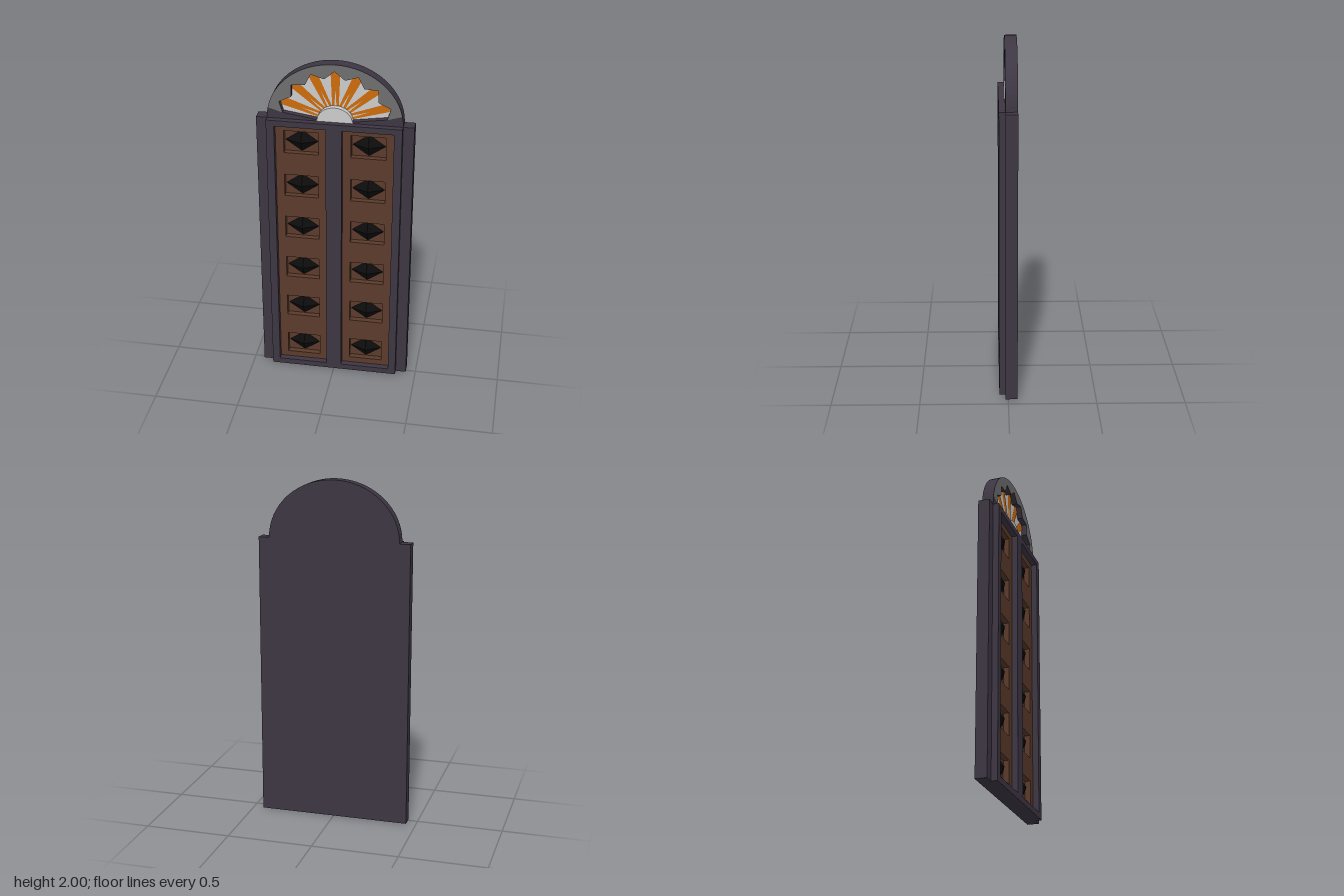
import * as THREE from 'three';

const mat = (name, color, side = THREE.FrontSide) => {
  const m = new THREE.MeshStandardMaterial({ color, side });
  m.name = name;
  return m;
};

const SPRING = 1.66;             // height where the arch starts
const BACK = -0.053, FLOOR = -0.02, FACE = 0.015, FRONT = 0.05;

// Point on the arch's ellipse family: degrees and fraction of the radii
const at = (deg, rx, ry) => new THREE.Vector2(
  rx * Math.cos(deg * Math.PI / 180), SPRING + ry * Math.sin(deg * Math.PI / 180));
const fan = (deg, r) => at(deg, 0.33 * r, 0.3 * r);

const rect = (cx, cy, w, h) => [[-1, -1], [1, -1], [1, 1], [-1, 1]].map(
  ([sx, sy]) => new THREE.Vector2(cx + sx * w / 2, cy + sy * h / 2));

// Half ellipse between two angles
const arc = (rx, ry, from, to, n) => Array.from({ length: n + 1 },
  (_, i) => at(from + (to - from) * i / n, rx, ry));

export function createModel() {
  const group = new THREE.Group();
  group.name = 'archedDoor';

  const dark = mat('dark frame', 0x3d3643);
  const brown = mat('brown wood', 0x5a3a2b);
  const black = mat('black studs', 0x0c0c0c);
  const grey = mat('grey stone', 0x6e6e6e);
  const orange = mat('orange petals', 0xcc6a0c);
  const white = mat('white petals', 0xcccccc);

  const add = (name, geometry, material) => {
    const mesh = new THREE.Mesh(geometry, material);
    mesh.name = name;
    group.add(mesh);
    return mesh;
  };
  const shapeOf = (points, holes = []) => {
    const s = new THREE.Shape(points);
    s.holes = holes.map(h => new THREE.Path(h));
    return s;
  };
  // Flat outline extruded between two depths
  const slab = (name, points, holes, z0, z1, material) => add(name,
    new THREE.ExtrudeGeometry(shapeOf(points, holes), { depth: z1 - z0, bevelEnabled: false })
      .translate(0, 0, z0), material);
  const sheet = (name, points, holes, z, material) => add(name,
    new THREE.ShapeGeometry(shapeOf(points, holes)).translate(0, 0, z), material);

  // Door body: solid back, recessed layer and raised front frame
  const windows = [-0.19, 0.19].map(x => rect(x, 0.83, 0.29, 1.59));
  const body = rect(0, SPRING / 2, 0.884, SPRING);
  slab('doorBack', body, [], BACK, FLOOR, dark);
  slab('doorBody', body, windows, FLOOR, FACE, dark);
  slab('frontFrame', rect(0, SPRING / 2, 0.76, SPRING), windows, FACE, FRONT, dark);

  // Two wooden panels with six pockets, each holding a diamond stud
  for (const x of [-0.19, 0.19]) {
    const pockets = [];
    for (let i = 0; i < 6; i++) pockets.push([x, 0.14 + i * 0.2755]);
    slab('woodPanel', rect(x, 0.83, 0.29, 1.59),
      pockets.map(([px, py]) => rect(px, py, 0.196, 0.137)), FLOOR, FACE, brown);
    sheet('pocketFloors', rect(x, 0.83, 0.288, 1.588), [], FLOOR + 0.002, brown);
    for (const [px, py] of pockets) {
      const stud = new THREE.ConeGeometry(1, 0.042, 4).toNonIndexed();
      stud.rotateX(Math.PI / 2).scale(0.095, 0.066, 1);
      stud.computeVertexNormals();
      add('diamondStud', stud, black).position.set(px, py, FLOOR + 0.022);
    }
  }

  // Zigzag outline of the fan recess: tips every 23.4 degrees
  const STEP = 23.4;
  const tips = [-3, -2, -1, 0, 1, 2, 3].map(i => 90 + i * STEP);
  const star = [fan(8, 0.89)];
  tips.forEach((deg, i) => {
    star.push(fan(deg, 1));
    if (i < 6) star.push(fan(deg + STEP / 2, 0.86));
  });
  star.push(fan(172, 0.89), new THREE.Vector2(-0.09, 1.667), new THREE.Vector2(0.09, 1.667));

  // Arch: solid back and a front layer pierced by the recess
  const arch = arc(0.38, 0.34, 0, 180, 32);
  slab('archBack', arch, [], BACK, FLOOR, dark);
  slab('archFront', arch, [star], FLOOR, FACE, dark);

  // Grey face around the fan, leaving a dark wedge at each foot
  const foot = 10.5;
  const inner = star.slice(0, -2).reverse();
  sheet('archFace', [...arc(0.379, 0.339, foot, 180 - foot, 28), ...inner], [], FACE + 0.001, grey);

  // Fan: white ground with orange petals narrowing toward each tip
  sheet('fanGround', star, [], FLOOR + 0.002, white);
  tips.forEach((deg, i) => {
    const lo = i === 0 ? deg - 12 : deg - STEP / 2;
    const hi = i === 6 ? deg + 12 : deg + STEP / 2;
    sheet('orangePetal', [fan(lo, 0.27), fan(deg - 5, 0.93), fan(deg, 0.995),
      fan(deg + 5, 0.93), fan(hi, 0.27)], [], FLOOR + 0.005, orange);
    // Slim white ray along the petal
    sheet('whiteRay', [fan(deg - 4, 0.27), fan(deg, 0.62), fan(deg + 4, 0.27)], [],
      FLOOR + 0.007, white);
  });

  // Half-round hub
  slab('fanHub', arc(0.1, 0.087, 0, 180, 16), [], FLOOR, FACE + 0.002, white);

  return group;
}
